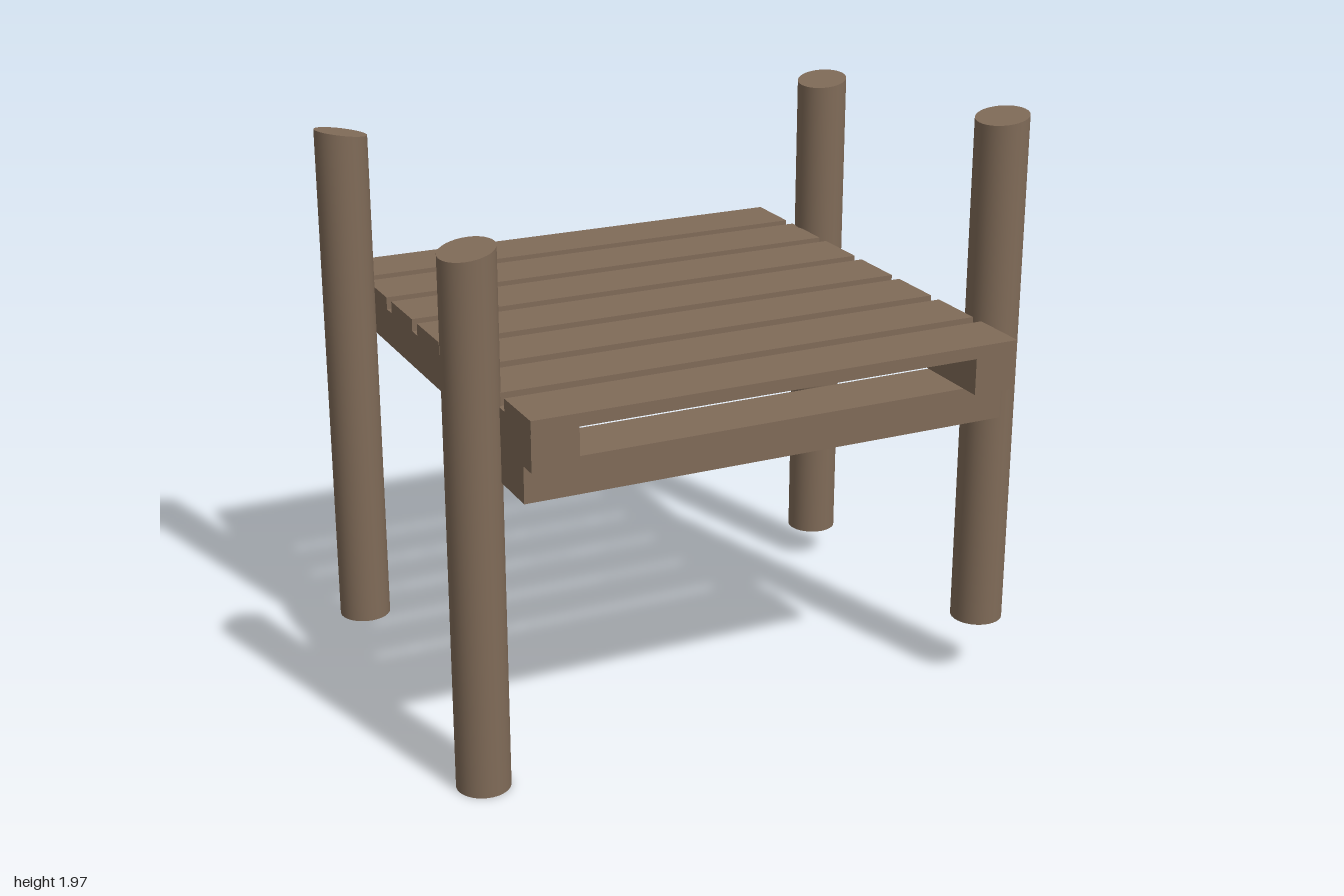
import * as THREE from 'three';

const wood = new THREE.MeshStandardMaterial({ color: 0x806b58 });
wood.name = 'weathered wood';

// Box given by its lower and upper limits on each axis
function beam(name, [x0, x1], [y0, y1], [z0, z1]) {
  const mesh = new THREE.Mesh(new THREE.BoxGeometry(x1 - x0, y1 - y0, z1 - z0), wood);
  mesh.position.set((x0 + x1) / 2, (y0 + y1) / 2, (z0 + z1) / 2);
  mesh.name = name;
  return mesh;
}

// Round post whose top is cut on a slant; slopeX and slopeZ tilt the cut
function post(name, x, z, bottom, top, slopeX, slopeZ) {
  const height = top - bottom;
  const geometry = new THREE.CylinderGeometry(0.087, 0.087, height, 32);
  geometry.translate(0, height / 2, 0);
  const p = geometry.attributes.position;
  for (let i = 0; i < p.count; i++) {
    if (p.getY(i) > height / 2) p.setY(i, height + slopeX * p.getX(i) + slopeZ * p.getZ(i));
  }
  const mesh = new THREE.Mesh(geometry, wood);
  mesh.position.set(x, bottom, z);
  mesh.name = name;
  return mesh;
}

export function createModel() {
  const model = new THREE.Group();
  model.name = 'woodenPlatform';

  // Deck planks with narrow gaps
  const deck = new THREE.Group();
  deck.name = 'deck';
  for (let i = -3; i <= 3; i++) {
    const z = i * 0.2525;
    deck.add(beam('plank', [-0.833, 0.808], [1.27, 1.311], [z - 0.102, z + 0.102]));
  }
  model.add(deck);

  // Side rails under the plank ends
  model.add(beam('rightRail', [-0.833, -0.682], [1.15, 1.27], [-0.858, 0.858]));
  model.add(beam('leftRail', [0.661, 0.808], [1.15, 1.27], [-0.858, 0.858]));

  // Cross beams: the back one between the rails, the front one beneath them
  model.add(beam('backBeam', [-0.838, 0.804], [1.162, 1.275], [-0.707, -0.56]));
  model.add(beam('frontBeam', [-0.832, 0.802], [1.03, 1.15], [0.585, 0.793]));

  // Corner posts at staggered heights
  model.add(post('frontRightPost', -0.9, 0.562, 0, 1.745, 0.17, -0.08));
  model.add(post('frontLeftPost', 0.911, 0.562, 0.21, 1.953, 0.15, -0.08));
  model.add(post('backRightPost', -0.913, -0.562, 0.11, 1.845, -0.17, 0.04));
  model.add(post('backLeftPost', 0.89, -0.558, 0.11, 1.855, 0.14, -0.12));

  return model;
}
